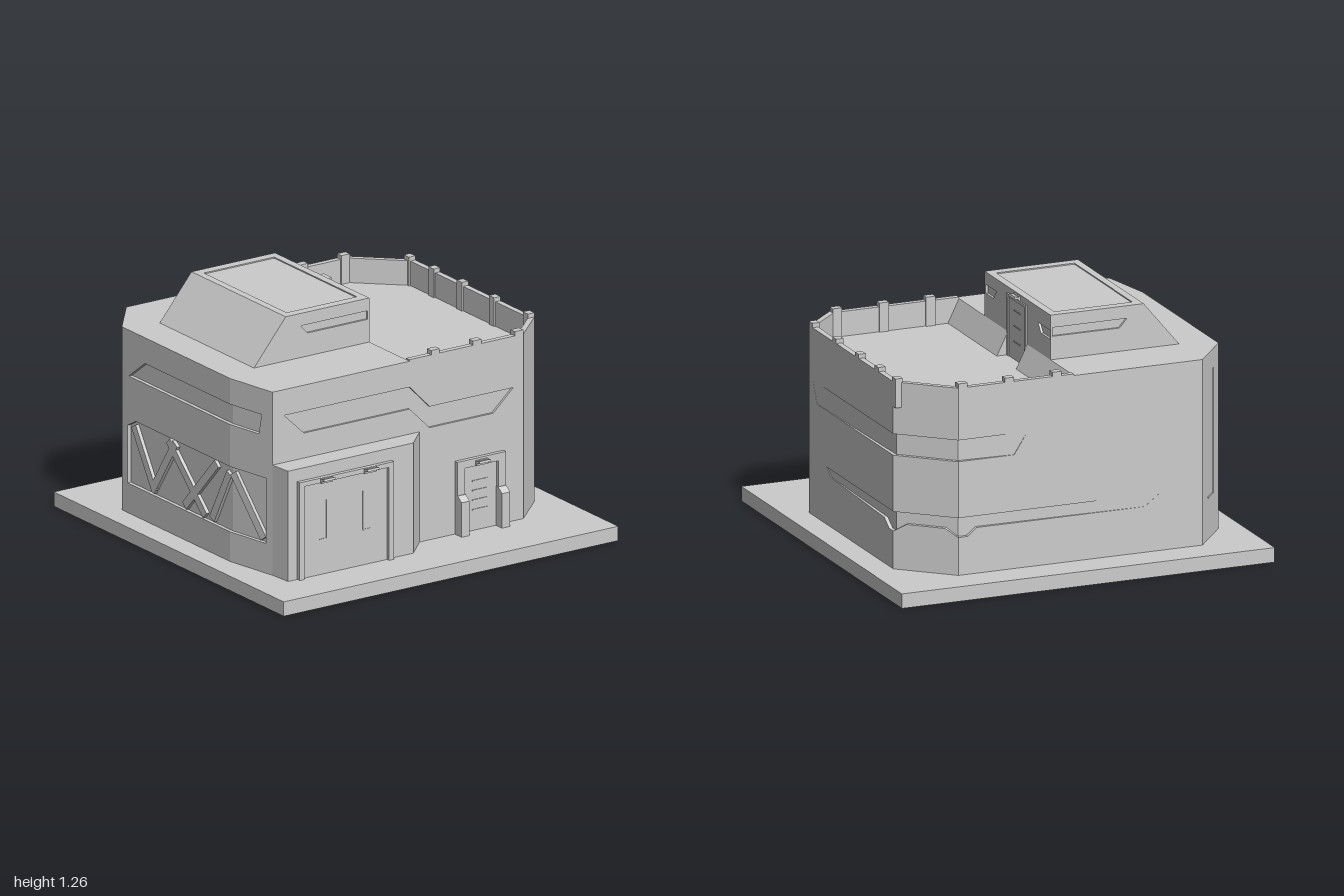
import * as THREE from 'three';
import { mergeGeometries } from 'three/addons/utils/BufferGeometryUtils.js';

const mat = new THREE.MeshStandardMaterial({ color: 0xcccccc, flatShading: true, side: THREE.DoubleSide });
const shapeOf = pts => new THREE.Shape(pts.map(p => new THREE.Vector2(...p)));
const rect = (u0, v0, u1, v1) => [[u0, v0], [u1, v0], [u1, v1], [u0, v1]];

function mesh(name, geo) {
  const m = new THREE.Mesh(geo, mat);
  m.name = name;
  return m;
}

function box(name, x0, x1, y0, y1, z0, z1) {
  const g = new THREE.BoxGeometry(x1 - x0, y1 - y0, z1 - z0);
  return mesh(name, g.translate((x0 + x1) / 2, (y0 + y1) / 2, (z0 + z1) / 2));
}

// Flat panel in local u,v with sunken areas; an "open" recess runs out of the panel's side,
// where its floor is mitred to meet the neighbouring panel's recess
function panel(outlines, recesses = [], L = -1, miter = 0.41) {
  const parts = [];
  const clean = g => { const n = g.index ? g.toNonIndexed() : g; n.deleteAttribute('uv'); n.computeVertexNormals(); parts.push(n); };
  outlines.forEach((pts, i) => {
    const s = shapeOf(pts);
    if (i === 0) for (const r of recesses) if (!r.open) s.holes.push(new THREE.Path(r.pts.map(p => new THREE.Vector2(...p))));
    clean(new THREE.ShapeGeometry(s));
  });
  for (const r of recesses) {
    if (!r.d) continue;
    const d = typeof r.d === 'function' ? r.d : () => r.d;
    const atEnd = u => r.open && (u < 1e-4 || Math.abs(u - L) < 1e-4);
    const inner = r.pts.map(([u, v]) => [atEnd(u) ? u + (u < 1e-4 ? 1 : -1) * miter * d(u) : u, v, -d(u)]);
    const floor = new THREE.ShapeGeometry(shapeOf(inner.map(p => [p[0], p[1]])));
    const pos = floor.attributes.position;
    for (let i = 0; i < pos.count; i++) pos.setZ(i, -d(pos.getX(i)));
    clean(floor);
    r.pts.forEach((a, i) => {
      const j = (i + 1) % r.pts.length, b = r.pts[j];
      if (atEnd(a[0]) && Math.abs(a[0] - b[0]) < 1e-4) return;
      const A = [...a, 0], B = [...b, 0];
      const g = new THREE.BufferGeometry();
      g.setAttribute('position', new THREE.Float32BufferAttribute([A, B, inner[j], A, inner[j], inner[i]].flat(), 3));
      clean(g);
    });
  }
  return mergeGeometries(parts);
}

// Upright panel: u runs from a to b (x,z points), v is height, outside is local +z
function wall(name, a, b, outlines, recesses, miter) {
  const m = mesh(name, panel(outlines, recesses, Math.hypot(b[0] - a[0], b[1] - a[1]), miter));
  m.position.set(a[0], 0, a[1]);
  m.rotation.y = Math.atan2(a[1] - b[1], b[0] - a[0]);
  return m;
}

// Level panel from x,z points
function flat(name, pts, y, recesses = []) {
  const flip = l => l.map(([x, z]) => [x, -z]);
  const m = mesh(name, panel([flip(pts)], recesses.map(r => ({ ...r, pts: flip(r.pts) }))));
  m.rotation.x = -Math.PI / 2;
  m.position.y = y;
  return m;
}

// Diagonal bar lying in a wall's plane
function beam(u0, v0, u1, v1, w, z = -0.01, t = 0.018) {
  const m = mesh('brace', new THREE.BoxGeometry(Math.hypot(u1 - u0, v1 - v0), w, t));
  m.position.set((u0 + u1) / 2, (v0 + v1) / 2, z);
  m.rotation.z = Math.atan2(v1 - v0, u1 - u0);
  return m;
}

function extrude(name, pts, depth) {
  return mesh(name, new THREE.ExtrudeGeometry(shapeOf(pts), { depth, bevelEnabled: false }));
}

// Door lamp: mounting plate with a tilted shade
function lamp(x, y, z, w = 0.07) {
  const g = new THREE.Group();
  g.name = 'doorLamp';
  g.add(box('lampMount', -w / 2, w / 2, -0.015, 0.012, 0, 0.008));
  const s = box('lampShade', -w / 2, w / 2, -0.006, 0.006, 0, 0.034);
  s.rotation.x = -0.25;
  g.add(s);
  g.position.set(x, y, z);
  return g;
}

export function createModel() {
  const root = new THREE.Group();
  root.name = 'fortifiedBuilding';
  const add = (...m) => root.add(...m);
  const F = 0.075, T = 0.91, R = 1.03;

  // Ground slab, open under the building
  const footprint = [[-0.81, 0.76], [-0.06, 0.76], [0.06, 0.64], [0.68, 0.64], [0.87, 0.46], [0.87, -0.59],
    [0.62, -0.82], [-0.69, -0.82], [-0.875, -0.59], [-0.875, 0.35], [-0.82, 0.64]];
  add(flat('slabTop', [[-1, 1], [1, 1], [1, -1], [-1, -1]], F, [{ pts: footprint, d: 0 }]));
  const sq = [[-1, 1], [1, 1], [1, -1], [-1, -1]];
  sq.forEach((a, i) => add(wall('slabSide', a, sq[(i + 1) % 4], [rect(0, 0, 2, F)])));

  // Front wall with stepped sunken stripe
  const stripe = [[-0.75, 0.895], [0, 0.895], [0.12, 0.77], [0.62, 0.77], [0.5, 0.66], [0.12, 0.66], [0, 0.78], [-0.63, 0.78]];
  const fx = l => l.map(([x, y]) => [x + 0.82, y]);
  add(wall('frontWall', [-0.82, 0.64], [0.68, 0.64],
    [fx([[0.06, F], [0.68, F], [0.68, T], [0, T], [0, R], [-0.82, R], [-0.82, 0.65], [0.06, 0.65]])],
    [{ pts: fx(stripe), d: 0.012 }]));
  add(wall('frontCorner', [0.68, 0.64], [0.87, 0.46], [rect(0, F, 0.2617, T)]));

  // Right wall: recesses deepen toward the back corner
  const rs = [[1.05, 0.66], [0.1, 0.66], [0.05, 0.77], [1.05, 0.77]];
  const rl = [[1.05, 0.27], [1, 0.27], [0.94, 0.31], [0.28, 0.33], [0.22, 0.37], [1.05, 0.37]];
  const rd = u => 0.02 * Math.max(0.02, (u - 0.05));
  add(wall('rightWall', [0.87, 0.46], [0.87, -0.59], [[[0, F], [1.05, F], ...rl, ...rs, [1.05, T], [0, T]]],
    [{ pts: rs, d: rd, open: true }, { pts: rl, d: rd, open: true }]));

  // Back right corner in bands
  const c = Math.hypot(0.25, 0.23);
  const low = [[0, 0.27], [0.07, 0.31], [c - 0.07, 0.31], [c, 0.27]];
  add(wall('backRightCorner', [0.87, -0.59], [0.62, -0.82],
    [[[0, F], [c, F], ...[...low].reverse()], rect(0, 0.37, c, 0.66), rect(0, 0.77, c, T)],
    [{ pts: rect(0, 0.66, c, 0.77), d: 0.02, open: true }, { pts: [...low, [c, 0.37], [0, 0.37]], d: 0.02, open: true }]));

  // Back wall
  const bs = [[0, 0.77], [0.37, 0.77], [0.3, 0.66], [0, 0.66]];
  const bl = [[0, 0.37], [1.08, 0.37], [1, 0.31], [0.1, 0.31], [0.05, 0.27], [0, 0.27]];
  add(wall('backWall', [0.62, -0.82], [-0.69, -0.82],
    [[[0, F], [1.31, F], [1.31, R], [0.62, R], [0.62, T], [0, T], ...bs, ...bl]],
    [{ pts: bs, d: u => 0.02 * Math.max(0.02, 1 - u / 0.37), open: true },
      { pts: bl, d: u => 0.02 * Math.max(0.02, 1 - u / 1.08), open: true }]));
  add(wall('backLeftCorner', [-0.69, -0.82], [-0.875, -0.59], [rect(0, F, 0.2952, R)],
    [{ pts: [[0.1, 0.285], [0.206, 0.285], [0.206, 0.93], [0.198, 0.93], [0.198, 0.293], [0.1, 0.293]], d: 0.01 }]));

  // Left wall in two slightly angled halves, with braced panel and upper slot
  const l2 = Math.hypot(0.055, 0.29);
  const s1 = [[0.94, 0.79], [0.06, 0.79], [0.2, 0.895], [0.94, 0.895]];
  const p1 = [[0.94, 0.23], [0.05, 0.23], [0.05, 0.53], [0.12, 0.57], [0.94, 0.57]];
  const left1 = wall('leftWall', [-0.875, -0.59], [-0.875, 0.35], [[[0, F], [0.94, F], ...p1, ...s1, [0.94, R], [0, R]]],
    [{ pts: s1, d: 0.02, open: true }, { pts: p1, d: 0.02, open: true }], 0.09);
  const s2 = [[0, 0.895], [0.22, 0.895], [0.2, 0.79], [0, 0.79]];
  const p2 = [[0, 0.57], [0.25, 0.57], [0.25, 0.23], [0, 0.23]];
  const left2 = wall('leftFrontWall', [-0.875, 0.35], [-0.82, 0.64], [[[0, F], [l2, F], [l2, R], [0, R], ...s2, ...p2]],
    [{ pts: s2, d: 0.02, open: true }, { pts: p2, d: 0.02, open: true }], 0.09);
  for (const b of [[0.1, 0.54, 0.28, 0.25], [0.26, 0.25, 0.46, 0.55], [0.4, 0.55, 0.72, 0.25], [0.54, 0.25, 0.82, 0.55], [0.78, 0.25, 0.93, 0.53]])
    left1.add(beam(...b, 0.045));
  left2.add(beam(0.02, 0.54, 0.23, 0.25, 0.045));
  add(left1, left2);

  // Roof, sunken terrace, and the slope between them with a gap for the roof door
  add(flat('upperRoof', [[-0.82, 0.64], [0, 0.64], [0, -0.82], [-0.69, -0.82], [-0.875, -0.59], [-0.875, 0.35]], R));
  const innerRim = [[0, -0.79], [0.61, -0.79], [0.84, -0.58], [0.84, 0.45], [0.67, 0.61], [0, 0.61]];
  add(flat('terraceFloor', innerRim, T));
  for (const [z0, z1] of [[-0.79, -0.24], [0, 0.61]]) {
    const s = extrude('terraceSlope', [[0, T], [0.06, T], [0, R]], z1 - z0);
    s.position.z = z0;
    add(s);
  }

  // Parapet and its merlons
  const rim = [[0, 0.64], [0.68, 0.64], [0.87, 0.46], [0.87, -0.59], [0.62, -0.82], [0, -0.82], ...innerRim];
  const parapet = extrude('parapet', rim.map(([x, z]) => [x, -z]), 0.128);
  parapet.rotation.x = -Math.PI / 2;
  parapet.position.y = T;
  add(parapet);
  for (const x of [0.13, 0.38, 0.63]) add(box('merlon', x, x + 0.05, T, 1.06, 0.602, 0.64));
  for (const x of [0.065, 0.32, 0.57]) add(box('merlon', x, x + 0.05, T, 1.06, -0.82, -0.782));
  for (const z of [0.415, 0.12, -0.16, -0.405, -0.62]) add(box('merlon', 0.832, 0.87, T, 1.06, z, z + 0.045));

  // Roof cabin with sloped left end
  const cabin = new THREE.Group();
  cabin.name = 'roofCabin';
  const win = [[0.28, 1.195], [0.68, 1.195], [0.68, 1.15], [0.32, 1.15]];
  const side = [[0, R], [0.69, R], [0.69, 1.26], [0.19, 1.26]];
  const mir = l => l.map(([u, v]) => [0.69 - u, v]);
  cabin.add(wall('cabinFront', [-0.69, 0.29], [0, 0.29], [side], [{ pts: win, d: 0.012 }]));
  cabin.add(wall('cabinBack', [0, -0.53], [-0.69, -0.53], [mir(side)], [{ pts: mir(win), d: 0.012 }]));
  cabin.add(wall('cabinRight', [0, 0.29], [0, -0.53], [rect(0, R, 0.82, 1.26)],
    [{ pts: [[0.01, 1.195], [0.145, 1.195], [0.11, 1.15], [0.01, 1.15]], d: 0.012 },
      { pts: [[0.81, 1.18], [0.665, 1.18], [0.7, 1.135], [0.81, 1.135]], d: 0.012 }]));
  cabin.add(flat('cabinTop', [[-0.5, 0.29], [0, 0.29], [0, -0.53], [-0.5, -0.53]], 1.26,
    [{ pts: [[-0.46, 0.24], [-0.04, 0.24], [-0.04, -0.48], [-0.46, -0.48]], d: 0.006 }]));
  const slope = mesh('cabinSlope', new THREE.PlaneGeometry(0.82, Math.hypot(0.19, 0.23)));
  slope.rotation.set(-Math.atan2(0.19, 0.23), 0, 0);
  const slopeTurn = new THREE.Group();
  slopeTurn.add(slope);
  slopeTurn.rotation.y = -Math.PI / 2;
  slopeTurn.position.set(-0.595, 1.145, -0.12);
  cabin.add(slopeTurn);
  cabin.add(box('roofDoor', -0.01, 0.003, T, 1.22, -0.22, -0.02));
  for (const z of [-0.24, -0.02]) cabin.add(box('roofDoorJamb', -0.01, 0.008, T, 1.23, z, z + 0.02));
  cabin.add(box('roofDoorLintel', -0.01, 0.008, 1.215, 1.23, -0.24, 0));
  for (const y of [1.0, 1.08, 1.16]) cabin.add(box('roofDoorRib', 0, 0.006, y, y + 0.006, -0.16, -0.08));
  const roofLamp = lamp(0, 1.24, 0);
  roofLamp.position.set(0, 1.24, -0.12);
  roofLamp.rotation.y = Math.PI / 2;
  cabin.add(roofLamp);
  add(cabin);

  // Garage bay
  const bay = [[-0.82, 0.64], [-0.81, 0.76], [-0.06, 0.76], [0.06, 0.64]];
  for (let i = 0; i < 3; i++) {
    const a = bay[i], b = bay[i + 1];
    add(wall('garageWall', a, b, [rect(0, F, Math.hypot(b[0] - a[0], b[1] - a[1]), 0.65)]));
  }
  add(flat('garageRoof', bay, 0.65));
  const doorFrame = (name, x0, x1, y, w, h, z, d) => {
    const f = extrude(name, [[x0, F], [x0 + w, F], [x0 + w, y - h], [x1 - w, y - h], [x1 - w, F], [x1, F], [x1, y], [x0, y]], d);
    f.position.z = z;
    return f;
  };
  add(doorFrame('garageFrame', -0.755, -0.19, 0.585, 0.03, 0.025, 0.76, 0.022));
  add(box('garageDoor', -0.725, -0.22, F, 0.56, 0.75, 0.764));
  for (const s of [-1, 1]) {
    const x = -0.4725 + s * 0.11;
    add(box('garageDoorSeam', x - 0.003, x + 0.003, 0.26, 0.46, 0.76, 0.767));
    add(box('garageDoorSeam', Math.min(x, x + s * 0.04), Math.max(x, x + s * 0.04), 0.255, 0.261, 0.76, 0.767));
    add(lamp(-0.465 + s * 0.13, 0.572, 0.78));
  }

  // Small front door with chamfered side posts
  add(doorFrame('entryFrame', 0.27, 0.56, 0.455, 0.045, 0.04, 0.64, 0.022));
  add(box('entryDoor', 0.315, 0.515, F, 0.415, 0.635, 0.646));
  for (const y of [0.18, 0.23, 0.28, 0.33]) add(box('entryDoorRib', 0.37, 0.46, y, y + 0.006, 0.64, 0.65));
  for (const x of [0.27, 0.512]) {
    const p = extrude('entryPost', [[-0.64, F], [-0.7, F], [-0.7, 0.255], [-0.665, 0.28], [-0.64, 0.28]], 0.048);
    p.rotation.y = Math.PI / 2;
    p.position.x = x;
    add(p);
  }
  add(lamp(0.415, 0.432, 0.662));
  return root;
}
